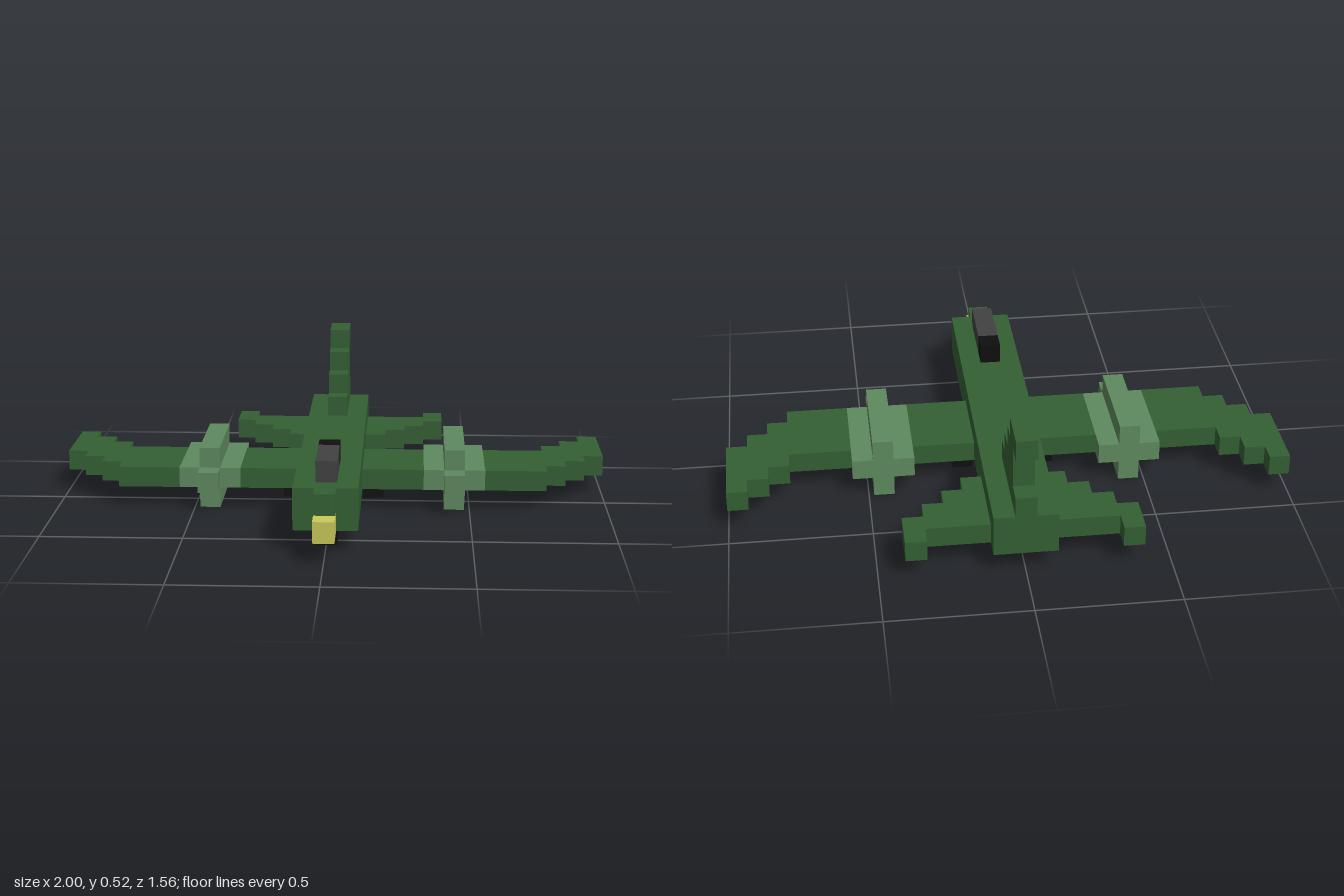
import * as THREE from 'three';

const U = 2 / 27; // one block

function material(name, color) {
  const m = new THREE.MeshStandardMaterial({ color });
  m.name = name;
  return m;
}

export function createModel() {
  const green = material('dark green', 0x346034);
  const paleGreen = material('pale green', 0x5f8a5f);
  const grey = material('canopy grey', 0x424242);
  const black = material('black', 0x0f0f0f);
  const yellow = material('yellow', 0xc9c95a);

  const model = new THREE.Group();
  model.name = 'airplane';

  // Box given by its ranges in block units
  function block(parent, name, mat, [x0, x1], [y0, y1], [z0, z1]) {
    const geo = new THREE.BoxGeometry((x1 - x0) * U, (y1 - y0) * U, (z1 - z0) * U);
    const mesh = new THREE.Mesh(geo, mat);
    mesh.name = name;
    mesh.position.set((x0 + x1) / 2 * U, (y0 + y1) / 2 * U, (z0 + z1) / 2 * U);
    parent.add(mesh);
  }

  // The same box on both sides
  function pair(parent, name, mat, [x0, x1], y, z) {
    block(parent, name + 'Left', mat, [x0, x1], y, z);
    block(parent, name + 'Right', mat, [-x1, -x0], y, z);
  }

  function group(name) {
    const g = new THREE.Group();
    g.name = name;
    model.add(g);
    return g;
  }

  // Fuselage and nose
  const mid = [-0.5, 0.5];
  const body = group('fuselage');
  block(body, 'hull', green, [-1.5, 1.5], [1, 3], [-10.5, 8.5]);
  block(body, 'noseTop', green, mid, [2, 3], [8.5, 9.5]);
  block(body, 'noseTip', yellow, mid, [1, 2], [8.5, 10.5]);

  // Canopy
  const canopy = group('canopy');
  block(canopy, 'canopyGlass', grey, mid, [3, 4], [4.5, 7.5]);
  block(canopy, 'canopyRear', black, mid, [3, 4], [3.5, 4.5]);

  // Wings with stepped, swept tips
  const wings = group('wings');
  const level = [1, 2];
  pair(wings, 'wingInner', green, [1.5, 4.5], level, [-2.5, 1.5]);
  pair(wings, 'wingOuter', green, [7.5, 10.5], level, [-2.5, 1.5]);
  for (let i = 0; i < 3; i++) {
    pair(wings, 'wingTip' + (i + 1), green, [10.5 + i, 11.5 + i], level, [-3.5 - i, 0.5 - i]);
  }

  // Engine nacelles, cross-shaped in section
  const engines = group('engines');
  pair(engines, 'nacelle', paleGreen, [4.5, 7.5], level, [-3.5, 1.5]);
  pair(engines, 'nacelleTop', paleGreen, [5.5, 6.5], [2, 3], [-3.5, 1.5]);
  pair(engines, 'nacelleBottom', paleGreen, [5.5, 6.5], [0, 1], [-3.5, 1.5]);
  pair(engines, 'propellerHub', paleGreen, [5.5, 6.5], level, [1.5, 2.5]);

  // Tailplane
  const tail = group('tailplane');
  for (let i = 0; i < 4; i++) {
    const z = i < 3 ? [-9.5, -5.5 - i] : [-10.5, -8.5];
    pair(tail, 'tailStep' + (i + 1), green, [1.5 + i, 2.5 + i], level, z);
  }

  // Tail fin, one layer per row
  const fin = group('tailFin');
  [[-10.5, -5.5], [-9.5, -6.5], [-9.5, -7.5], [-10.5, -8.5]].forEach((z, i) =>
    block(fin, 'finLayer' + (i + 1), green, mid, [3 + i, 4 + i], z));

  // Landing gear
  const gear = group('landingGear');
  block(gear, 'noseWheel', black, mid, [0, 1], [6.5, 7.5]);
  pair(gear, 'mainWheel', black, [1.5, 2.5], [0, 1], [-1.5, -0.5]);

  return model;
}
